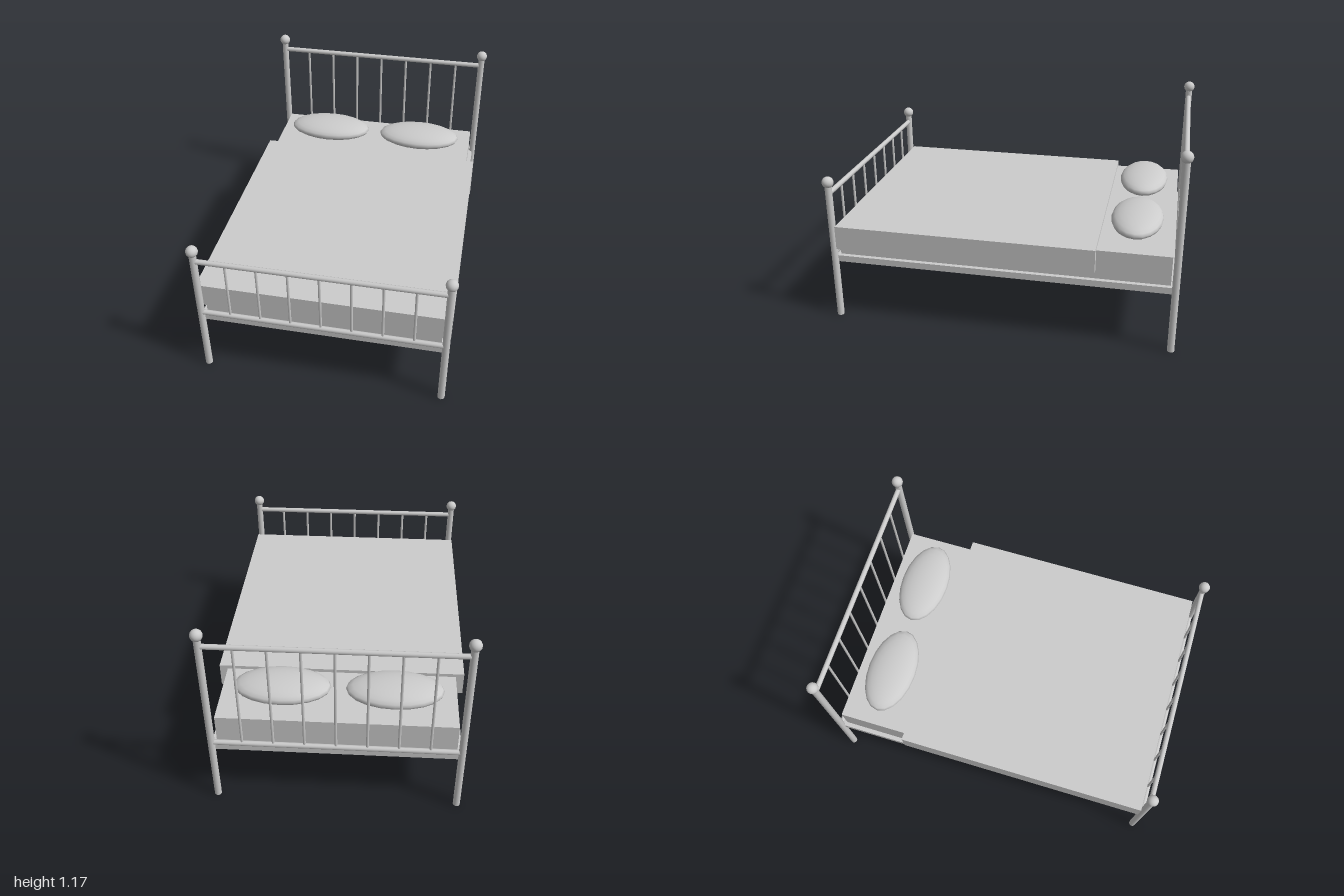
import * as THREE from 'three';

const material = new THREE.MeshStandardMaterial({ color: 0xcccccc });
const POST_X = 0.675, POST_Z = 0.967;

function add(parent, name, geometry, x, y, z) {
  const mesh = new THREE.Mesh(geometry, material);
  mesh.name = name;
  mesh.position.set(x, y, z);
  parent.add(mesh);
  return mesh;
}

// Box given by its half width and its y and z ranges
function slab(parent, name, halfX, y0, y1, z0, z1) {
  const geometry = new THREE.BoxGeometry(2 * halfX, y1 - y0, z1 - z0);
  return add(parent, name, geometry, 0, (y0 + y1) / 2, (z0 + z1) / 2);
}

// One bed end: two posts with ball finials, two rails and seven spindles
function bedEnd(name, z, ballY, topRailY) {
  const group = new THREE.Group();
  group.name = name;
  group.position.z = z;
  const lowRailY = 0.407;

  for (const side of [-1, 1]) {
    const post = new THREE.CylinderGeometry(0.02, 0.02, ballY, 12);
    add(group, 'post', post, side * POST_X, ballY / 2, 0);
    add(group, 'finial', new THREE.SphereGeometry(0.033, 16, 12), side * POST_X, ballY, 0);
  }

  for (const [railName, y] of [['topRail', topRailY], ['lowerRail', lowRailY]]) {
    const rail = new THREE.CylinderGeometry(0.015, 0.015, 2 * POST_X, 10);
    add(group, railName, rail, 0, y, 0).rotation.z = Math.PI / 2;
  }

  const length = topRailY - lowRailY;
  for (let i = -3; i <= 3; i++) {
    const spindle = new THREE.CylinderGeometry(0.0075, 0.0075, length, 8);
    add(group, 'spindle', spindle, i * POST_X / 4, lowRailY + length / 2, 0);
  }
  return group;
}

export function createModel() {
  const bed = new THREE.Group();
  bed.name = 'bed';

  bed.add(bedEnd('headboard', -POST_Z, 1.133, 1.064));
  bed.add(bedEnd('footboard', POST_Z, 0.842, 0.774));

  // Base, mattress and the wider blanket over it
  slab(bed, 'frame', POST_X, 0.352, 0.39, -0.965, 0.965);
  slab(bed, 'mattress', 0.65, 0.39, 0.56, -0.94, 0.94);
  slab(bed, 'blanket', 0.696, 0.44, 0.58, -0.533, 0.945);

  // Pair of flattened pillows
  for (const side of [-1, 1]) {
    const pillow = new THREE.SphereGeometry(1, 20, 12).scale(0.268, 0.058, 0.147);
    add(bed, 'pillow', pillow, side * 0.308, 0.62, -0.727);
  }
  return bed;
}
